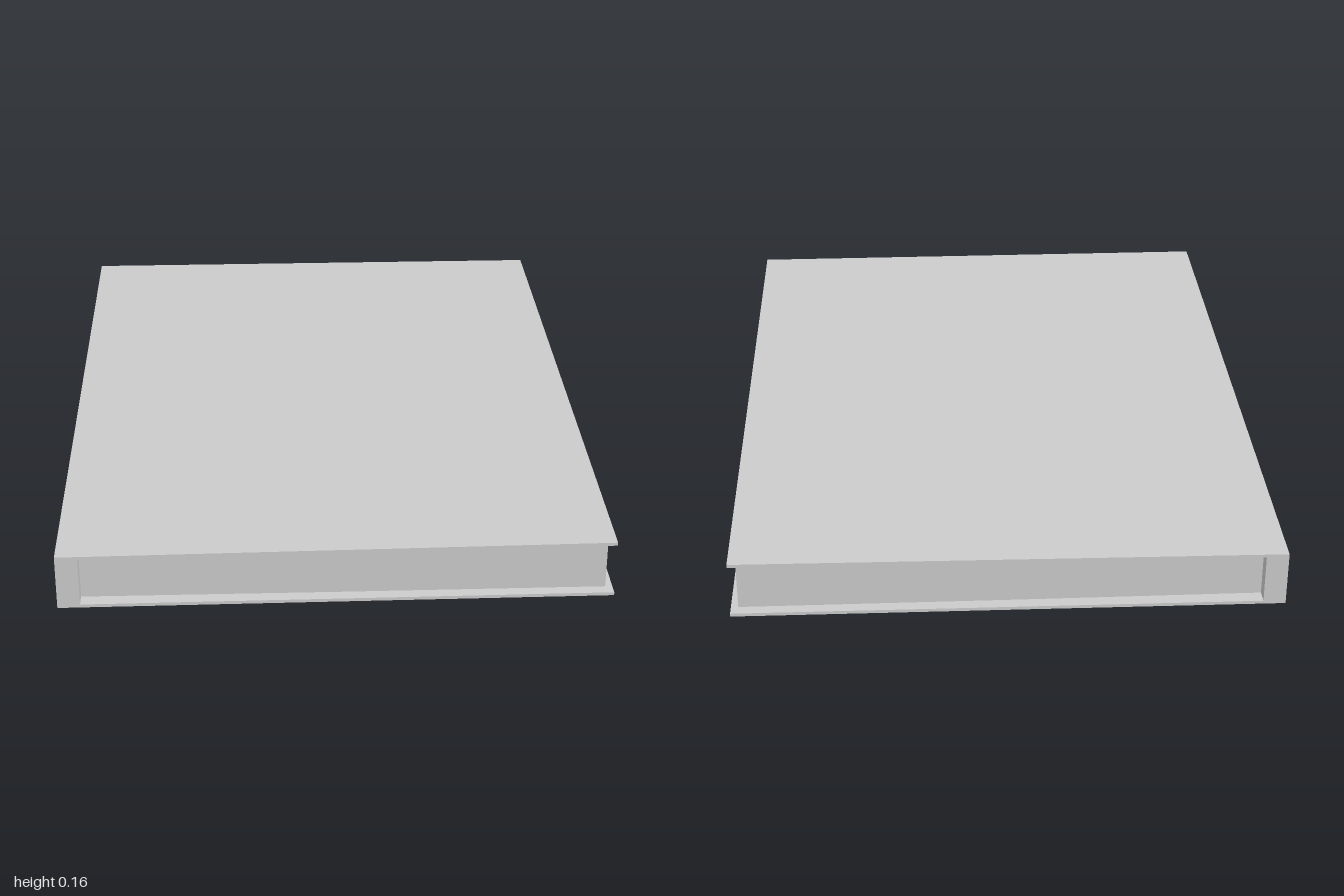
import * as THREE from 'three';

const grey = new THREE.MeshStandardMaterial({ color: 0xcccccc, flatShading: true });
const HALF_WIDTH = 0.74, MID = 0.081;

// Box given by its min and max corners
function block(name, min, max) {
  const size = max.map((v, i) => v - min[i]);
  const geo = new THREE.BoxGeometry(...size);
  geo.translate(...max.map((v, i) => (v + min[i]) / 2));
  const mesh = new THREE.Mesh(geo, grey);
  mesh.name = name;
  return mesh;
}

// Shell pieces narrow slightly in z and spread slightly in y towards the open edge
function taper(mesh) {
  const pos = mesh.geometry.attributes.position;
  for (let i = 0; i < pos.count; i++) {
    const t = (pos.getX(i) + HALF_WIDTH) / (2 * HALF_WIDTH);
    const y = pos.getY(i);
    pos.setY(i, y + Math.sign(y - MID) * 0.004 * t);
    pos.setZ(i, pos.getZ(i) * (1 - 0.012 * t));
  }
  mesh.geometry.computeVertexNormals();
  return mesh;
}

export function createModel() {
  const book = new THREE.Group();
  book.name = 'book';

  // Hard covers
  book.add(taper(block('frontCover', [-HALF_WIDTH, 0.149, -1], [HALF_WIDTH, 0.158, 1])));
  book.add(taper(block('backCover', [-HALF_WIDTH, 0.004, -1], [HALF_WIDTH, 0.013, 1])));

  // Spine joining the covers along the left edge
  book.add(taper(block('spine', [-HALF_WIDTH, 0.013, -1], [-0.68, 0.149, 1])));

  // Page block, recessed from the cover edges
  book.add(block('pages', [-0.68, 0.011, -0.96], [0.72, 0.151, 0.96]));

  return book;
}
